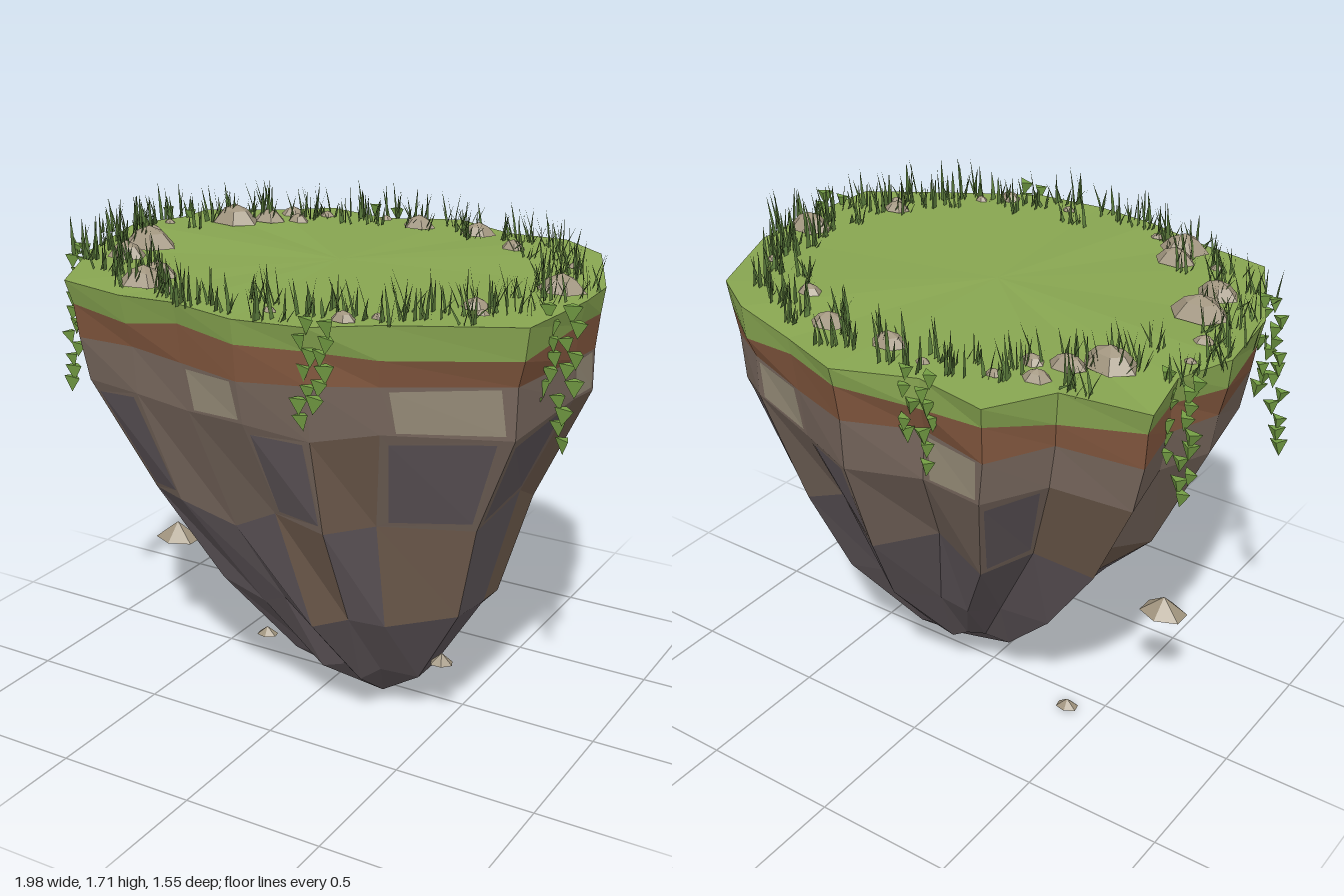
import * as THREE from 'three';
import { mergeGeometries } from 'three/addons/utils/BufferGeometryUtils.js';

const mat = (name, color, extra = {}) => {
  const m = new THREE.MeshStandardMaterial({ color, flatShading: true, ...extra });
  m.name = name;
  return m;
};

function seeded(seed) {
  return () => {
    seed = (seed * 1664525 + 1013904223) % 4294967296;
    return seed / 4294967296;
  };
}

// Rim of the island, clockwise seen from above: x, z
const RIM = [
  [0.06, -0.78], [0.3, -0.69], [0.55, -0.63], [0.73, -0.51], [0.89, -0.15], [0.9, 0.04], [0.87, 0.4],
  [0.49, 0.62], [0.3, 0.74], [0.06, 0.77], [-0.18, 0.73], [-0.41, 0.7], [-0.67, 0.65], [-0.86, 0.28],
  [-0.92, -0.06], [-0.84, -0.25], [-0.88, -0.46], [-0.6, -0.53], [-0.46, -0.72], [-0.2, -0.67],
];

// Horizontal levels: y, scale x, scale z, centre x, centre z, jitter of size, jitter of y
const LEVELS = [
  [1.57, 1, 1, 0, 0, 0, 0.012],
  [1.48, 0.985, 0.985, 0, 0, 0.012, 0.025],
  [1.375, 0.965, 0.96, 0, 0, 0.012, 0.02],
  [1.22, 0.945, 0.95, 0.01, 0, 0.02, 0.035],
  [0.84, 0.76, 0.75, 0.045, 0.03, 0.04, 0.06],
  [0.46, 0.53, 0.53, 0.12, 0.045, 0.04, 0.04],
  [0.19, 0.28, 0.28, 0.14, 0.045, 0.04, 0.03],
];
const TIP = [0.2, 0, 0.05];
const TAN_FACES = [1, 4, 6, 9, 18];          // pale slabs below the soil
const SLATE_FACES = [0, 2, 5, 6, 8, 11, 13, 17];
const UMBER_MID = [4, 7, 16];
const UMBER_LOW = [4, 6, 8, 14];

export function createModel() {
  const root = new THREE.Group();
  root.name = 'floatingIsland';
  const M = {
    grass: mat('grass green', 0x88a651),
    soil: mat('soil brown', 0x82573e),
    rock: mat('rock brown', 0x76665c),
    slate: mat('slate grey', 0x61585c),
    umber: mat('umber rock', 0x735f50),
    tan: mat('pale rock', 0x958b77),
    stone: mat('stone', 0xa0947e),
    blade: mat('blade green', 0x5c7d3d, { side: THREE.DoubleSide }),
    leaf: mat('leaf green', 0x749e44),
  };
  const add = (name, geometry, material, parent = root) => {
    const mesh = new THREE.Mesh(geometry, material);
    mesh.name = name;
    parent.add(mesh);
    return mesh;
  };
  const soup = (points) => {
    const g = new THREE.BufferGeometry();
    g.setAttribute('position', new THREE.Float32BufferAttribute(points.flat(), 3));
    g.computeVertexNormals();
    return g;
  };

  // Rings of the island body
  const rand = seeded(11);
  const jit = (a) => (rand() * 2 - 1) * a;
  const rings = LEVELS.map(([y, sx, sz, cx, cz, js, jy]) => RIM.map(([x, z]) => {
    const s = 1 + jit(js) / sx;
    return [cx + x * sx * s, y + jit(jy), cz + z * sz * s];
  }));

  // Body faces, gathered per layer and colour
  const parts = {};
  const put = (name, material, ...pts) => {
    (parts[name] ??= { material, pts: [] }).pts.push(...pts);
  };
  const quad = (name, material, [a, b, c, d]) => put(name, material, a, b, c, a, c, d);
  const mix = (p, q, t) => p.map((v, k) => v + (q[k] - v) * t);
  // Coloured slab set into a border of ordinary rock
  const slab = (name, material, rockName, q) => {
    const at = (u, v) => mix(mix(q[0], q[3], u), mix(q[1], q[2], u), v);
    const inner = [at(0.07, 0.08), at(0.12, 0.95), at(0.93, 0.9), at(0.88, 0.05)];
    quad(name, material, inner);
    q.forEach((p, k) => {
      const e = (k + 1) % 4;
      quad(rockName, M.rock, [p, q[e], inner[e], inner[k]]);
    });
  };
  const layer = (row, i) => {
    if (row === 0) return ['grassLayer', M.grass];
    if (row === 1) return ['soilLayer', M.soil];
    if (row === 2) return ['upperRock', M.rock];
    if (row === 3) return UMBER_MID.includes(i) ? ['umberStrips', M.umber] : ['middleRock', M.rock];
    if (row === 4 && UMBER_LOW.includes(i)) return ['umberStrips', M.umber];
    return ['lowerRock', M.slate];
  };
  const n = RIM.length;
  for (let i = 0; i < n; i++) {
    const j = (i + 1) % n;
    put('grassTop', M.grass, [0, 1.58, 0.02], rings[0][j], rings[0][i]);
    for (let r = 0; r < rings.length - 1; r++) {
      const [U, L] = [rings[r], rings[r + 1]];
      const corners = [L[i], U[i], U[j], L[j]];
      if (r === 2 && TAN_FACES.includes(i)) slab('paleSlabs', M.tan, 'upperRock', corners);
      else if (r === 3 && SLATE_FACES.includes(i)) slab('slateSlabs', M.slate, 'middleRock', corners);
      else quad(...layer(r, i), corners);
    }
    const last = rings[rings.length - 1];
    put('lowerRock', M.slate, TIP, last[i], last[j]);
  }
  for (const [name, p] of Object.entries(parts)) add(name, soup(p.pts), p.material);

  // Grass blades in tufts around the rim, leaning along one diagonal
  const blades = [];
  const g = seeded(5);
  for (let t = 0; t < 100; t++) {
    const a = (t + g()) / 100 * Math.PI * 2;
    const f = 0.78 + 0.27 * g();
    const [tx, tz] = [Math.cos(a) * 0.89 * f, 0.03 + Math.sin(a) * 0.69 * f];
    for (let b = 0; b < 6; b++) {
      const dir = 0.55 + (g() - 0.5) * 0.6;
      const [dx, dz] = [Math.cos(dir), Math.sin(dir)];
      const [x, z] = [tx + (g() - 0.5) * 0.07, tz + (g() - 0.5) * 0.04];
      const h = 0.035 + 0.095 * g();
      const lean = (g() - 0.5) * 0.15;
      // w widens the blade along its lean and across it
      const at = (s, y, w) => [x + dx * (s + w) - dz * w, 1.57 + y, z + dz * (s + w) + dx * w];
      const [p, q, u, v, tip] = [at(0, 0, -0.008), at(0, 0, 0.008), at(lean * 0.4, h * 0.5, 0.006),
        at(lean * 0.4, h * 0.5, -0.006), at(lean, h + 0.01, 0)];
      blades.push(p, q, u, p, u, v, v, u, tip);
    }
  }
  add('grassBlades', soup(blades), M.blade);

  // Six-sided peaked stones on the grass: x, z, radius
  const dome = new THREE.LatheGeometry(
    [[0, 0], [1, 0], [0.55, 0.5], [0, 0.75]].map(([x, y]) => new THREE.Vector2(x, y)), 6, Math.PI / 6);
  const stones = new THREE.Group();
  stones.name = 'stones';
  root.add(stones);
  [
    [0, -0.56, 0.065], [0.24, -0.56, 0.065], [0.44, -0.42, 0.05], [0.8, 0, 0.085], [0.65, 0.31, 0.05],
    [0.37, 0.63, 0.045], [-0.41, 0.49, 0.075], [-0.39, 0.59, 0.09], [-0.66, 0.33, 0.08],
    [-0.68, 0.17, 0.105], [-0.79, 0, 0.04], [-0.63, -0.29, 0.1], [-0.53, -0.37, 0.065],
    [-0.5, -0.49, 0.05], [-0.43, -0.41, 0.045], [-0.38, -0.54, 0.03], [-0.16, -0.6, 0.025],
    [0.72, -0.29, 0.025], [-0.82, -0.14, 0.025], [0.7, 0.37, 0.025], [0.45, 0.56, 0.025],
    [0.13, 0.66, 0.025], [-0.26, 0.63, 0.025], [-0.56, 0.51, 0.025],
  ].forEach(([x, z, r], i) => {
    const s = add('stone', dome, M.stone, stones);
    s.position.set(x, 1.575, z);
    s.scale.set(r, r * 0.9, r * 0.75);
    s.rotation.y = Math.sin(i * 2.1) * 0.2;
  });

  // Loose fragments floating beside the rock: x, y, z, radius, height
  const chip = new THREE.ConeGeometry(1, 1, 6).translate(0, 0.5, 0);
  [[-0.66, 0.435, 0.1, 0.09, 0.065], [-0.39, 0.01, -0.09, 0.043, 0.032], [0.49, 0.24, 0.16, 0.043, 0.04]]
    .forEach(([x, y, z, r, h], i) => {
      const c = add('floatingFragment', chip, M.stone);
      c.position.set(x, y, z);
      c.scale.set(r, h, r * 0.75);
      c.rotation.y = 0.2 * i;
    });

  // Hanging vines, two strands side by side: x, z, length of each strand, drift in x
  const leaf = new THREE.ConeGeometry(0.036, 0.06, 3).rotateX(Math.PI).scale(1, 1, 0.6);
  const v = seeded(23);
  const vines = [];
  [[0.345, 0.735, 0.31, 0.24, -0.02], [0.92, 0.235, 0.42, 0.3, -0.04], [-0.825, 0.36, 0.5, 0.32, -0.04],
    [-0.86, -0.27, 0.4, 0.26, 0], [-0.2, -0.69, 0.3, 0.22, 0]].forEach(([x, z, long, short, drift]) => {
    [long, short].forEach((len, k) => {
      const side = (k ? 0.035 : -0.035) * (x > 0.5 ? -1 : 1);
      const count = Math.round(len / 0.042);
      for (let i = 0; i < count; i++) {
        const t = i / (count - 1);
        const l = leaf.clone().rotateZ((v() - 0.5) * 0.4).rotateY((v() - 0.5) * 0.8);
        const s = 1 - 0.2 * v();
        l.scale(s, s, s).translate(
          x + side + drift * t + (v() - 0.5) * 0.045, 1.575 - len * t, z + (v() - 0.5) * 0.03);
        vines.push(l);
      }
    });
  });
  add('hangingVines', mergeGeometries(vines), M.leaf);

  return root;
}
